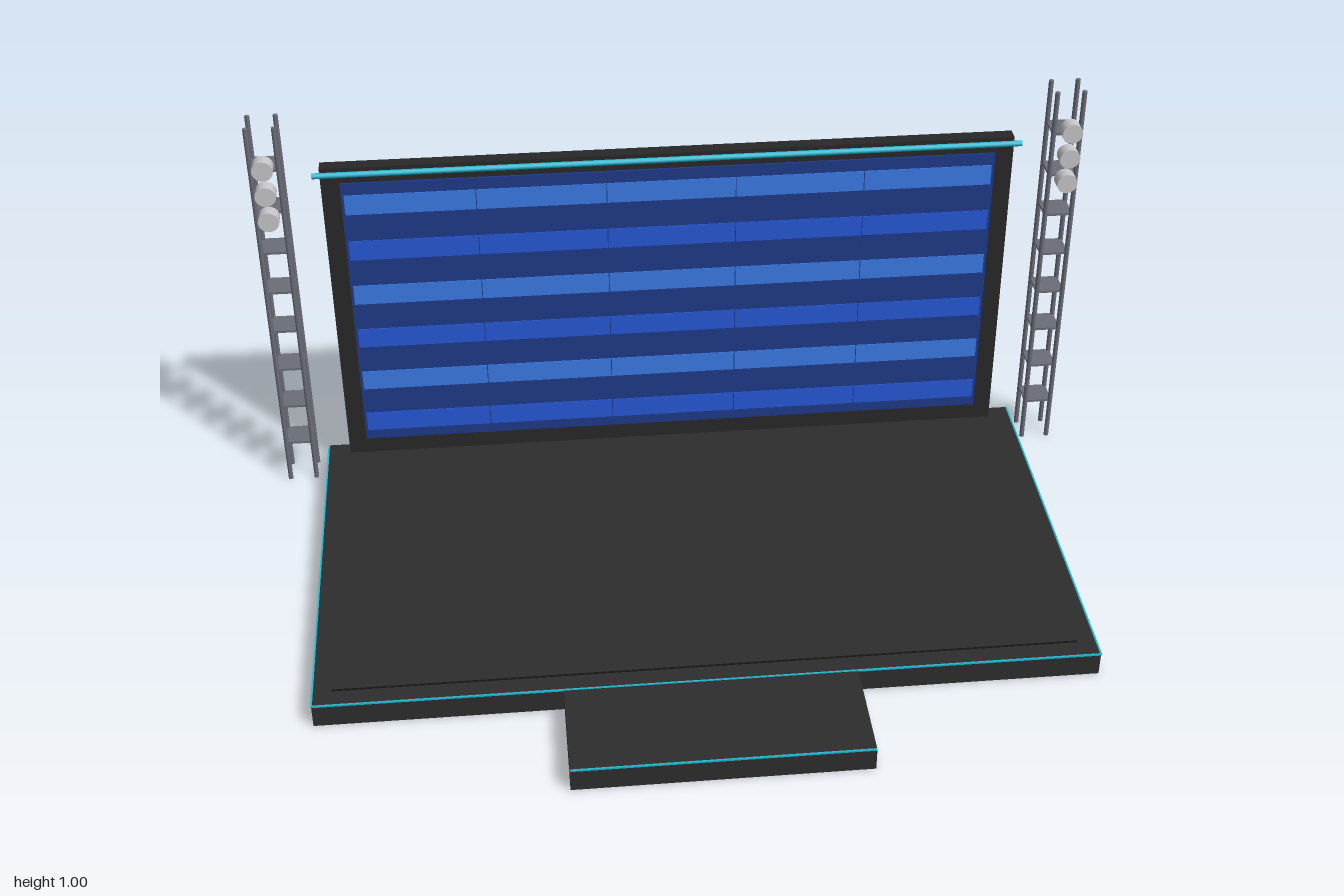
import * as THREE from 'three';

const mat = (name, color, side = THREE.FrontSide) => {
  const m = new THREE.MeshStandardMaterial({ color, side });
  m.name = name;
  return m;
};

export function createModel() {
  const charcoal = mat('deck charcoal', 0x2d2d2d);
  const frameGrey = mat('frame charcoal', 0x282828);
  const black = mat('seam black', 0x141414);
  const navy = mat('screen navy', 0x1e3a8a);
  const blue = mat('stripe blue', 0x2659d8);
  const sky = mat('stripe light blue', 0x3b7be6);
  const cyan = mat('trim cyan', 0x22b8d0);
  const steel = mat('truss steel', 0x6b6d78);
  const silver = mat('lamp silver', 0xc8c8cc);

  const model = new THREE.Group();
  model.name = 'concertStage';

  const add = (parent, name, geometry, material, x, y, z) => {
    const mesh = new THREE.Mesh(geometry, material);
    mesh.name = name;
    mesh.position.set(x, y, z);
    parent.add(mesh);
    return mesh;
  };
  // Box given by its limits on each axis
  const box = (parent, name, material, [x0, x1], [y0, y1], [z0, z1]) =>
    add(parent, name, new THREE.BoxGeometry(x1 - x0, y1 - y0, z1 - z0), material,
      (x0 + x1) / 2, (y0 + y1) / 2, (z0 + z1) / 2);

  // Deck and front thrust
  const H = 0.057;
  box(model, 'deck', charcoal, [-0.893, 0.893], [0, H], [-0.622, 0.38]);
  box(model, 'thrust', charcoal, [-0.333, 0.333], [0, H], [0.38, 0.637]);
  box(model, 'deckSeam', black, [-0.85, 0.85], [H, H + 0.001], [0.328, 0.333]);

  // Glowing edge trim
  const trimY = [H - 0.002, H + 0.002];
  box(model, 'frontTrim', cyan, [-0.893, 0.893], trimY, [0.378, 0.382]);
  box(model, 'thrustTrim', cyan, [-0.333, 0.333], trimY, [0.635, 0.639]);
  for (const s of [-1, 1]) {
    box(model, s > 0 ? 'leftTrim' : 'rightTrim', cyan,
      [s * 0.893 - 0.002, s * 0.893 + 0.002], trimY, [-0.622, 0.38]);
  }

  // Back wall with video screen
  const wall = new THREE.Group();
  wall.name = 'videoWall';
  model.add(wall);
  box(wall, 'wallFrame', frameGrey, [-0.837, 0.837], [H, 0.882], [-0.618, -0.584]);
  box(wall, 'screen', navy, [-0.792, 0.792], [0.102, 0.842], [-0.584, -0.579]);
  for (let i = 0; i < 6; i++) {
    const y = 0.156 + i * 0.1257;
    box(wall, 'screenStripe', i % 2 ? sky : blue,
      [-0.785, 0.785], [y - 0.0265, y + 0.0265], [-0.579, -0.577]);
  }
  for (let i = -2; i < 2; i++) {
    const x = (i + 0.5) * 0.314;
    box(wall, 'panelSeam', navy, [x - 0.001, x + 0.001], [0.102, 0.842], [-0.577, -0.5765]);
  }

  // Light bar along the top of the wall
  const bar = add(model, 'lightBar', new THREE.CylinderGeometry(0.007, 0.007, 1.71, 12),
    cyan, 0, 0.867, -0.578);
  bar.rotation.z = Math.PI / 2;

  // Truss towers with three lamps each
  const post = new THREE.CylinderGeometry(0.006, 0.006, 1.005, 10);
  const plate = new THREE.BoxGeometry(0.07, 0.006, 0.07);
  const lamp = new THREE.CylinderGeometry(0.025, 0.025, 0.034, 20).rotateX(Math.PI / 2);
  for (const s of [-1, 1]) {
    const tower = new THREE.Group();
    tower.name = s > 0 ? 'leftTower' : 'rightTower';
    tower.position.set(s * 0.961, 0, -0.6);
    model.add(tower);
    for (const dx of [-0.033, 0.033])
      for (const dz of [-0.033, 0.033]) add(tower, 'post', post, steel, dx, 0.5025, dz);
    for (let k = 1; k <= 8; k++) add(tower, 'bracePlate', plate, steel, 0, k * 0.1117, 0);
    for (let k = 0; k < 3; k++) add(tower, 'lamp', lamp, silver, 0, 0.782 + k * 0.0675, 0.067);
  }

  return model;
}
